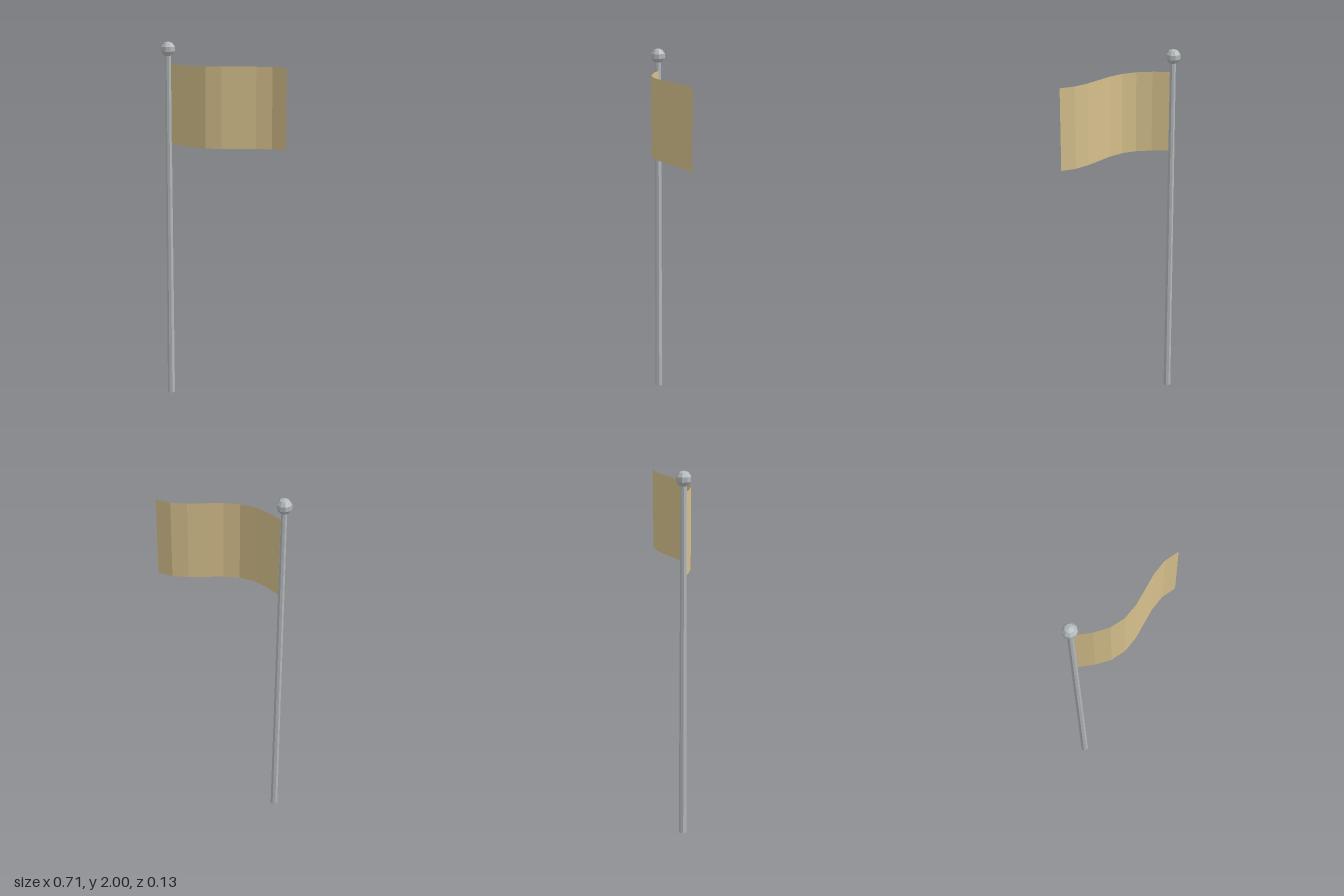
import * as THREE from 'three';

export function createModel() {
  const metal = new THREE.MeshStandardMaterial({ color: 0xb4b9bb, flatShading: true });
  metal.name = 'grey metal';
  const cloth = new THREE.MeshStandardMaterial({ color: 0xd6c08c, flatShading: true, side: THREE.DoubleSide });
  cloth.name = 'tan cloth';

  const group = new THREE.Group();
  group.name = 'flagpole';
  const poleX = -0.318;

  const add = (name, geometry, material, x, y) => {
    const mesh = new THREE.Mesh(geometry, material);
    mesh.name = name;
    mesh.position.set(x, y, 0);
    group.add(mesh);
    return mesh;
  };

  // Slightly tapered pole
  add('pole', new THREE.CylinderGeometry(0.016, 0.021, 1.95, 8), metal, poleX, 0.975);

  // Faceted ball on top, one corner pointing toward the flag
  add('finial', new THREE.SphereGeometry(0.0405, 9, 5), metal, poleX, 1.9595).rotation.y = Math.PI;

  // Flag: a single sheet rippled by a sine wave along its length
  const width = 0.655, height = 0.435;
  const sheet = new THREE.PlaneGeometry(width, height, 8, 1);
  const p = sheet.attributes.position;
  for (let i = 0; i < p.count; i++) {
    const t = p.getX(i) / width + 0.5;
    p.setZ(i, 0.07 * Math.sin(5 * t));
  }
  sheet.computeVertexNormals();
  add('flag', sheet, cloth, -0.3 + width / 2, 1.445 + height / 2);

  return group;
}
